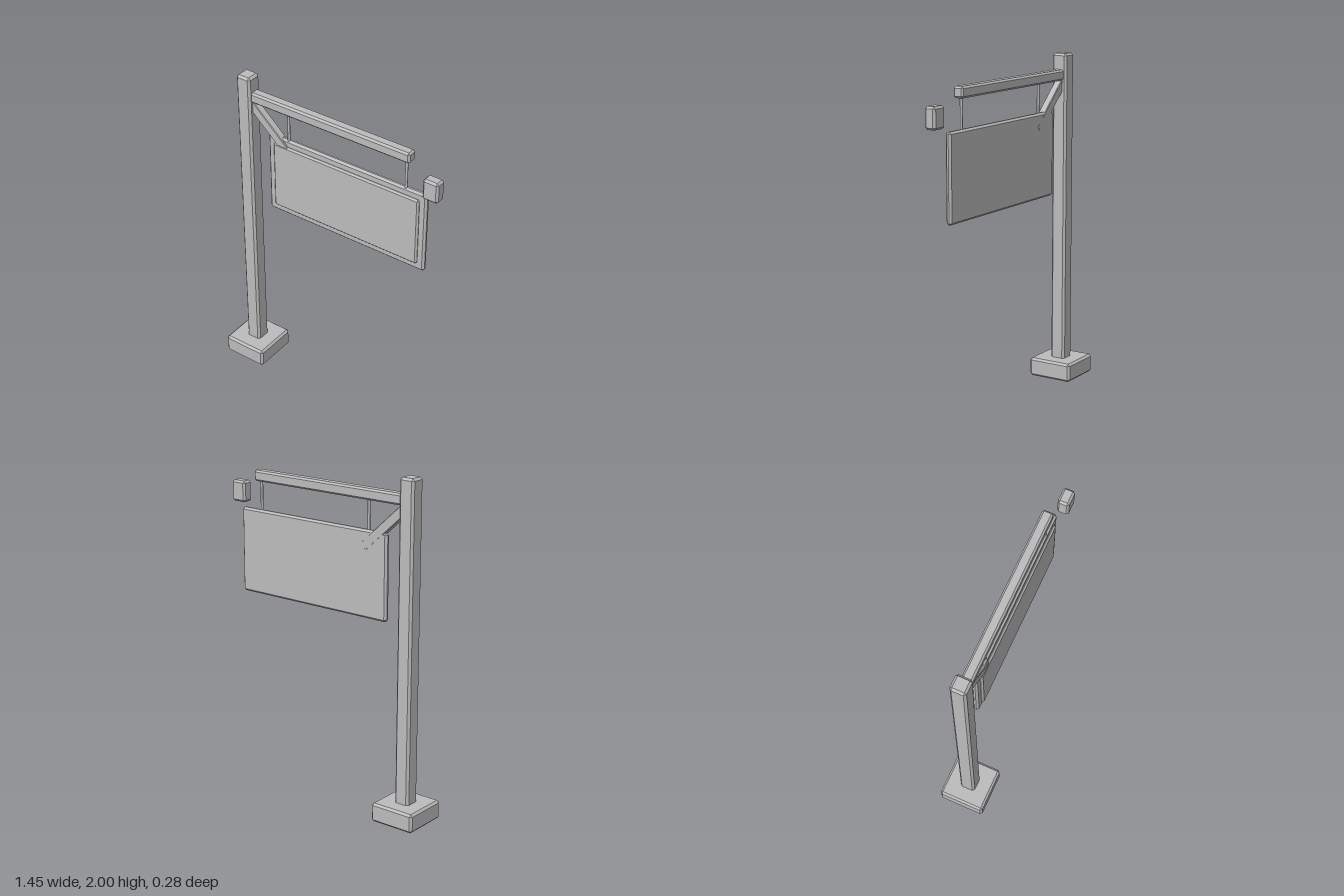
import * as THREE from 'three';
import { ConvexGeometry } from 'three/addons/geometries/ConvexGeometry.js';

// Box with flat chamfers of width c on every edge
function chamferBox(w, h, d, c) {
  const points = [];
  for (const sx of [-1, 1]) for (const sy of [-1, 1]) for (const sz of [-1, 1]) {
    const x = w / 2, y = h / 2, z = d / 2;
    points.push(
      new THREE.Vector3(sx * x, sy * (y - c), sz * (z - c)),
      new THREE.Vector3(sx * (x - c), sy * y, sz * (z - c)),
      new THREE.Vector3(sx * (x - c), sy * (y - c), sz * z)
    );
  }
  return new ConvexGeometry(points);
}

export function createModel() {
  const model = new THREE.Group();
  model.name = 'hangingSign';

  const grey = new THREE.MeshStandardMaterial({ color: 0xbcbcbc });
  grey.name = 'plainGrey';

  const add = (name, geometry, x, y, z) => {
    const mesh = new THREE.Mesh(geometry, grey);
    mesh.name = name;
    mesh.position.set(x, y, z);
    model.add(mesh);
    return mesh;
  };

  // Foot and upright
  const postX = -0.585;
  add('base', chamferBox(0.283, 0.114, 0.283, 0.013), postX, 0.057, 0);
  add('post', chamferBox(0.095, 1.91, 0.095, 0.013), postX, 1.045, 0);

  // Horizontal arm
  add('arm', chamferBox(1.07, 0.065, 0.064, 0.011), -0.018, 1.873, 0);

  // Diagonal brace running from the post into the board
  const top = new THREE.Vector2(-0.575, 1.843);
  const end = new THREE.Vector2(-0.28, 1.573);
  const run = end.clone().sub(top);
  const brace = add('brace', chamferBox(run.length(), 0.055, 0.046, 0.004),
    (top.x + end.x) / 2, (top.y + end.y) / 2, 0);
  brace.rotation.z = run.angle();

  // Board with a raised front panel
  const boardX = 0.091, boardY = 1.416;
  add('board', chamferBox(1.064, 0.51, 0.035, 0.012), boardX, boardY, -0.005);
  add('frontPanel', chamferBox(0.98, 0.426, 0.028, 0.01), boardX, boardY, 0.012);

  // Hanger rods
  for (const side of [-1, 1]) {
    add(side < 0 ? 'rightHanger' : 'leftHanger',
      new THREE.CylinderGeometry(0.008, 0.008, 0.2, 8), boardX + side * 0.393, 1.755, 0);
  }

  // Small block beyond the arm's end
  add('lampBlock', chamferBox(0.098, 0.127, 0.068, 0.012), 0.676, 1.753, 0.038);

  return model;
}
